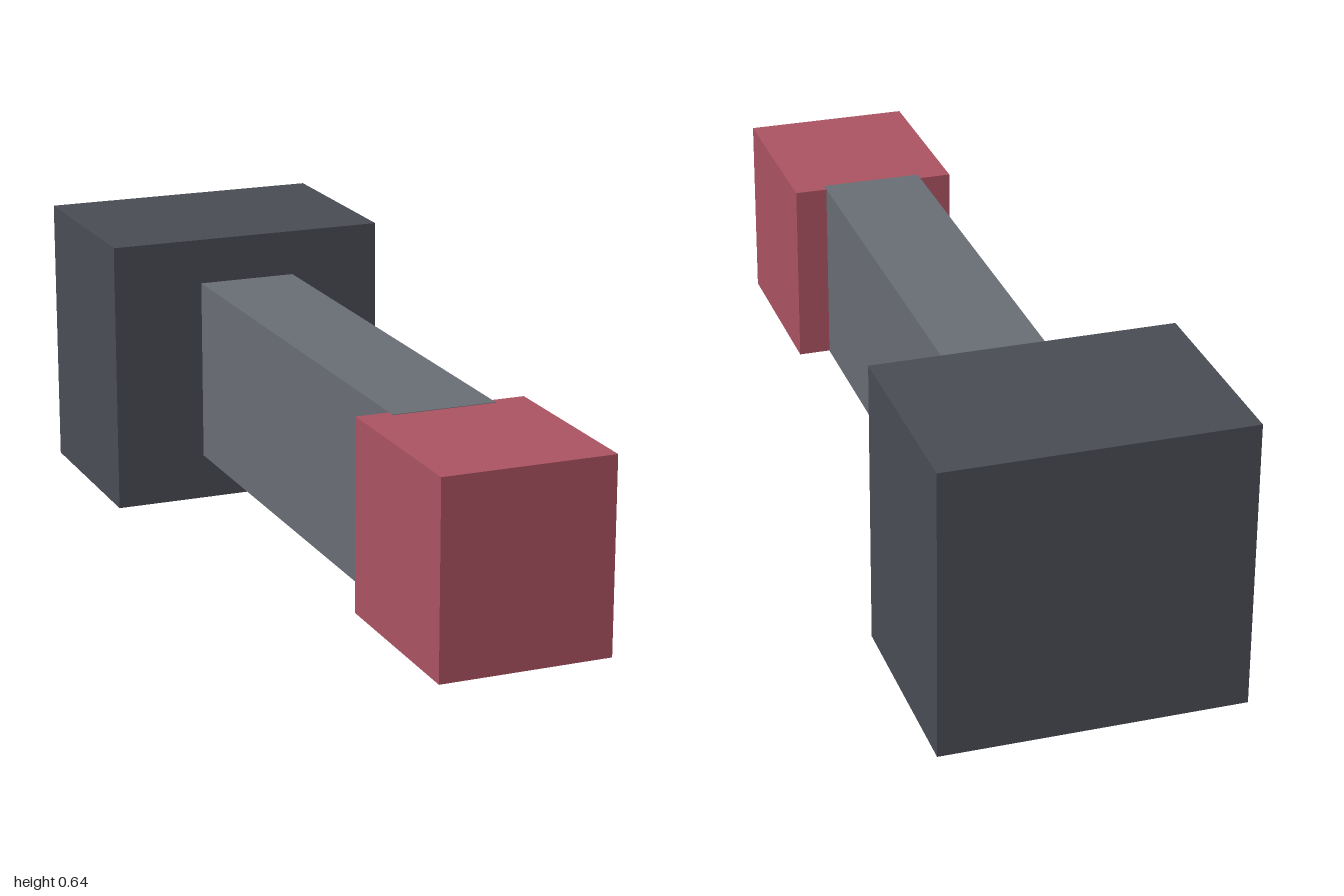
import * as THREE from 'three';

// Box given by its width, its bottom and top, and its back and front
function block(name, color, width, [y0, y1], [z0, z1]) {
  const mesh = new THREE.Mesh(
    new THREE.BoxGeometry(width, y1 - y0, z1 - z0),
    new THREE.MeshStandardMaterial({ color, flatShading: true })
  );
  mesh.name = name;
  mesh.position.set(0, (y0 + y1) / 2, (z0 + z1) / 2);
  return mesh;
}

export function createModel() {
  const model = new THREE.Group();
  model.name = 'blockBar';
  model.add(
    // Heavy block at the back
    block('rearBlock', 0x4a4d55, 0.658, [0, 0.636], [-1, -0.533]),
    // Shaft, a hair taller than the tip so the overlapping faces stay distinct
    block('shaft', 0x6a6e75, 0.23, [0.106, 0.531], [-0.54, 0.6]),
    // Coloured tip at the front
    block('frontTip', 0xad5463, 0.376, [0.107, 0.53], [0.58, 1])
  );
  return model;
}
